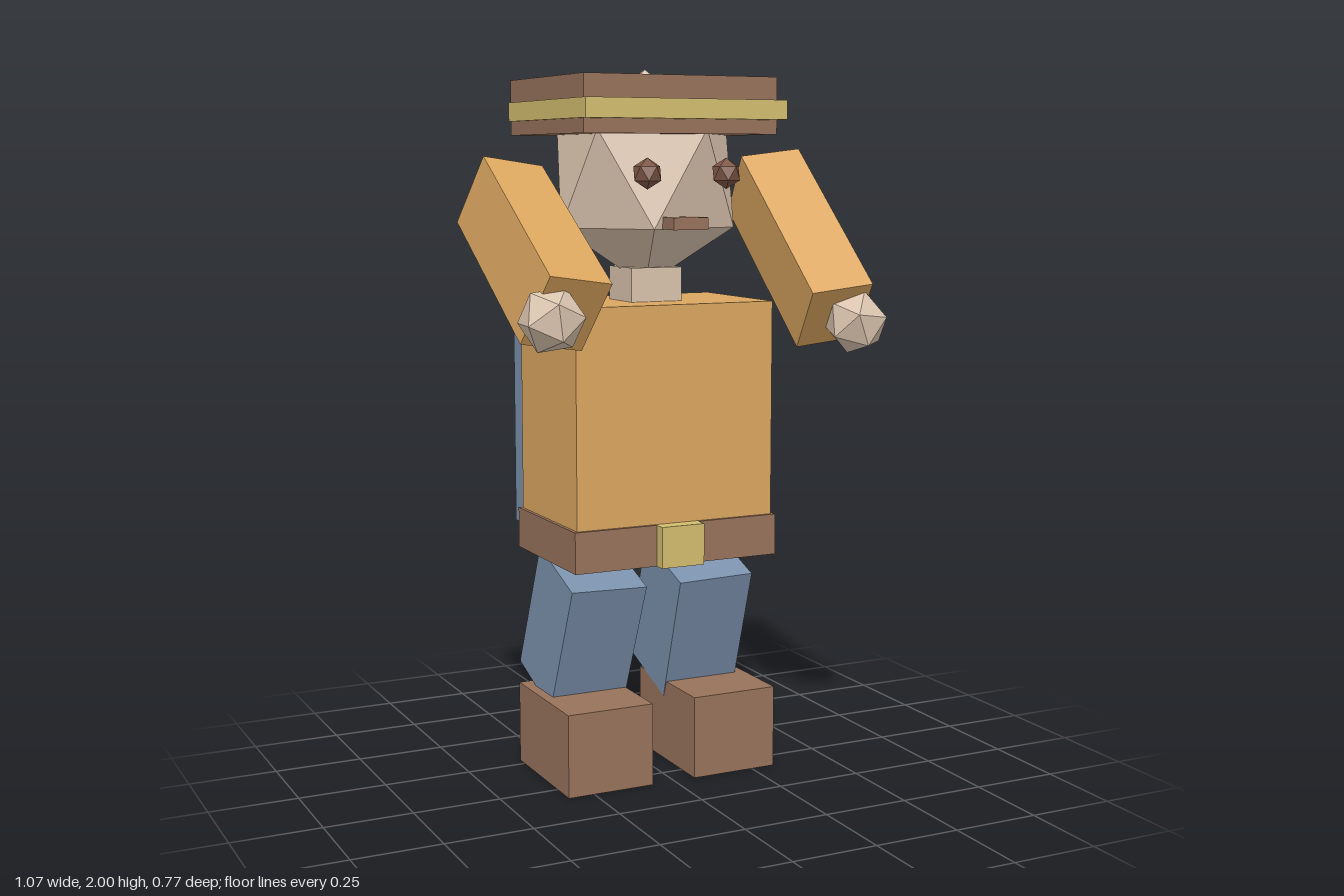
import * as THREE from 'three';
import { ConvexGeometry } from 'three/addons/geometries/ConvexGeometry.js';

const paint = (name, color) => {
  const m = new THREE.MeshStandardMaterial({ color });
  m.name = name;
  return m;
};

// Twenty-sided ball with a corner at the top and bottom
function facetedBall(rx, ry, rz) {
  const points = [new THREE.Vector3(0, ry, 0), new THREE.Vector3(0, -ry, 0)];
  const h = 1 / Math.sqrt(5), r = 2 * h;
  for (let i = 0; i < 5; i++) {
    const a = (i * Math.PI * 2) / 5;
    const x = Math.cos(a) * r * rx, z = Math.sin(a) * r * rz;
    points.push(new THREE.Vector3(x, h * ry, z), new THREE.Vector3(-x, -h * ry, z));
  }
  return new ConvexGeometry(points);
}

export function createModel() {
  const model = new THREE.Group();
  model.name = 'figure';

  const skin = paint('skin', 0xd9c3ad);
  const brown = paint('brown leather', 0x97725b);
  const dark = paint('dark brown', 0x7c5545);
  const gold = paint('gold trim', 0xd3bd6e);
  const tan = paint('tan cloth', 0xdba660);
  const blue = paint('blue cloth', 0x7a90ac);

  function add(name, geometry, material, position, rotation = [0, 0, 0]) {
    const mesh = new THREE.Mesh(geometry, material);
    mesh.name = name;
    mesh.position.set(...position);
    mesh.rotation.set(...rotation);
    model.add(mesh);
    return mesh;
  }
  const box = (name, size, material, position, rotation) =>
    add(name, new THREE.BoxGeometry(...size), material, position, rotation);
  const ball = (name, radii, material, position, rotation) =>
    add(name, facetedBall(...radii), material, position, rotation);

  // Body
  box('torso', [0.6, 0.61, 0.395], tan, [-0.003, 1.055, -0.103]);
  box('belt', [0.62, 0.116, 0.415], brown, [-0.003, 0.695, -0.103]);
  box('buckle', [0.13, 0.116, 0.08], gold, [-0.003, 0.695, 0.099]);
  box('backPanel', [0.575, 0.645, 0.08], blue, [-0.003, 1.023, -0.35]);
  box('neck', [0.155, 0.16, 0.15], skin, [-0.003, 1.375, -0.104]);

  // Head and face
  ball('head', [0.287, 0.3, 0.265], skin, [-0.003, 1.7, -0.105]);
  box('mouth', [0.104, 0.033, 0.09], brown, [-0.003, 1.582, 0.138]);

  // Hat with a band that stands out at the front
  box('hat', [0.578, 0.155, 0.52], brown, [-0.003, 1.898, -0.13]);
  box('hatBand', [0.6, 0.053, 0.547], gold, [-0.003, 1.886, -0.105]);

  // Paired parts; each arm is raised by its own amount
  for (const side of [-1, 1]) {
    const label = side > 0 ? 'left' : 'right';
    const mid = -0.003;
    const bend = side > 0 ? [-0.84, -0.16, 0] : [-1.0, 0.17, 0];

    ball(label + 'Eye', [0.042, 0.042, 0.042], dark, [mid + side * 0.118, 1.715, 0.157]);
    box(label + 'Arm', [0.18, 0.55, 0.216], tan,
      [mid + side * 0.406, 1.51, 0.05], bend);
    ball(label + 'Hand', [0.09, 0.09, 0.09], skin,
      side > 0 ? [0.452, 1.31, 0.287] : [-0.459, 1.35, 0.304], bend);
    box(label + 'Leg', [0.23, 0.393, 0.25], blue,
      [mid + side * 0.174, 0.42, -0.168], [0.35, 0, side * 0.03]);
    box(label + 'Boot', [0.258, 0.237, 0.365], brown,
      [mid + side * 0.195, 0.1185, -0.102]);
  }
  return model;
}
